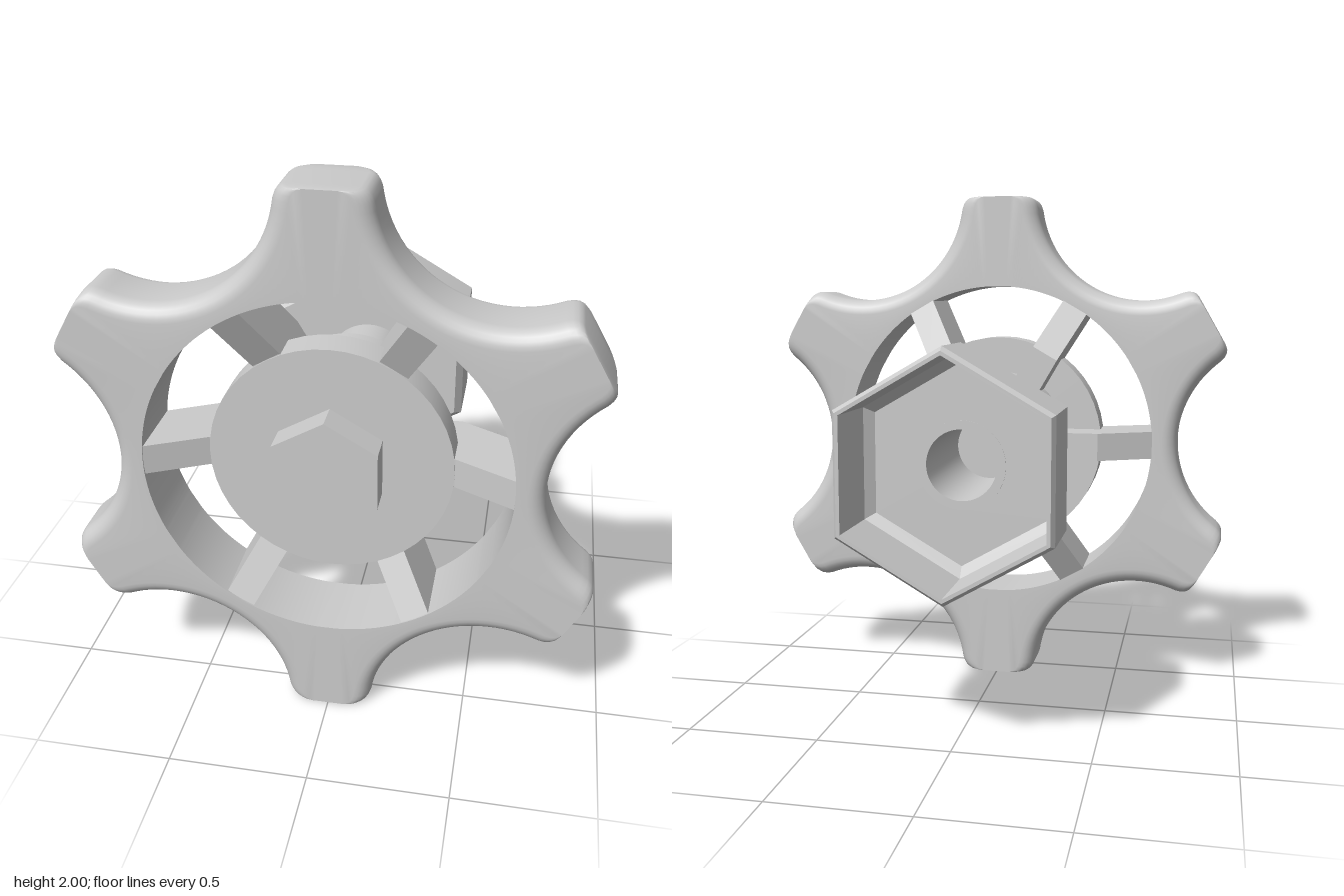
import * as THREE from 'three';
import { toCreasedNormals } from 'three/addons/utils/BufferGeometryUtils.js';

const grey = new THREE.MeshStandardMaterial({ color: 0xcccccc });
const greyFlat = new THREE.MeshStandardMaterial({ color: 0xcccccc, flatShading: true });

const LOBES = 6;
const BACK = 0.36, FRONT = 0.625;   // z range of the wheel rim
const HOLE = 0.64;                  // radius of the rim opening
const FILLET = 0.06;

function part(name, geometry, material = grey) {
  const mesh = new THREE.Mesh(geometry, material);
  mesh.name = name;
  return mesh;
}

// Lathe a closed (radius, z) profile around the z axis
function turned(profile, sides) {
  const points = profile.map(([r, z]) => new THREE.Vector2(r, z));
  return new THREE.LatheGeometry(points, sides).rotateX(Math.PI / 2);
}

// Scalloped outline; inset widens the scallops but leaves the flat lobe tips alone
function outline(inset) {
  const dist = 1.168, radius = 0.43 + inset, shoulder = 0.93;
  const cx = dist * 0.5, cy = dist * Math.cos(Math.PI / 6);
  const edgeX = (y) => cx - Math.sqrt(radius ** 2 - (y - cy) ** 2);
  const half = [];
  const from = Math.PI * 4 / 3;
  const to = Math.PI + Math.asin((cy - shoulder) / radius);
  for (let i = 0; i <= 12; i++) {
    const a = from + (to - from) * i / 12;
    half.push(new THREE.Vector2(cx + radius * Math.cos(a), cy + radius * Math.sin(a)));
  }
  // rounded corner of the lobe
  const w = edgeX(1);
  const corner = new THREE.QuadraticBezierCurve(
    half[12].clone(), new THREE.Vector2(w, 1), new THREE.Vector2(w - 0.04, 1));
  half.push(...corner.getPoints(5).slice(1));
  const mirrored = half.slice(1).reverse().map((p) => new THREE.Vector2(-p.x, p.y));
  const lobe = [...half, ...mirrored];
  const origin = new THREE.Vector2();
  const points = [];
  for (let k = 0; k < LOBES; k++) {
    for (const p of lobe) points.push(p.clone().rotateAround(origin, k * Math.PI * 2 / LOBES));
  }
  return points;
}

// Rim: rings stacked along z with filleted edges, closed through the round opening
function rimGeometry() {
  const steps = 6, lower = [], upper = [];
  for (let k = 0; k <= steps; k++) {
    const a = k / steps * Math.PI / 2;
    const inset = FILLET * (1 - Math.sin(a)), dz = FILLET * (1 - Math.cos(a));
    const points = outline(inset);
    lower.push({ points, z: BACK + dz });
    upper.unshift({ points, z: FRONT - dz });
  }
  const opening = lower[0].points.map((p) => p.clone().setLength(HOLE));
  const rings = [...lower, ...upper, { points: opening, z: FRONT }, { points: opening, z: BACK }];

  const n = opening.length, positions = [], index = [];
  rings.forEach(({ points, z }, j) => {
    const next = (j + 1) % rings.length;
    points.forEach((p, i) => {
      positions.push(p.x, p.y, z);
      const i2 = (i + 1) % n;
      const a = j * n + i, b = j * n + i2, c = next * n + i2, d = next * n + i;
      index.push(a, b, c, a, c, d);
    });
  });
  const geometry = new THREE.BufferGeometry();
  geometry.setAttribute('position', new THREE.Float32BufferAttribute(positions, 3));
  geometry.setIndex(index);
  return toCreasedNormals(geometry, 0.6);
}

// Spoke: bent strut sloping forward from the hub to the rim
function spokeGeometry() {
  const width = 0.11;
  const shape = new THREE.Shape([
    [0.27, 0.25], [0.43, 0.25], [0.64, 0.36], [0.66, 0.37],
    [0.66, 0.61], [0.64, 0.62], [0.43, 0.515], [0.27, 0.5],
  ].map(([r, z]) => new THREE.Vector2(r, z)));
  return new THREE.ExtrudeGeometry(shape, { depth: width, bevelEnabled: false })
    .translate(0, 0, -width / 2)
    .rotateX(Math.PI / 2);
}

export function createModel() {
  const model = new THREE.Group();
  model.name = 'handwheelKnob';
  const body = new THREE.Group();
  body.name = 'knobBody';
  body.position.y = 1;
  model.add(body);

  body.add(part('wheelRim', rimGeometry()));

  const spoke = spokeGeometry();
  for (let k = 0; k < LOBES; k++) {
    const mesh = part('spoke', spoke, greyFlat);
    mesh.rotation.z = k * Math.PI * 2 / LOBES;
    body.add(mesh);
  }

  // Front disc, hub and bored shaft
  const hub = turned([
    [0, 0.2], [0.13, 0.2], [0.13, -0.317], [0.163, -0.317], [0.163, 0.08],
    [0.29, 0.08], [0.29, 0.4], [0.43, 0.4], [0.43, 0.52], [0, 0.52],
  ], 48);
  body.add(part('hubAndShaft', toCreasedNormals(hub, 0.6)));

  // Hexagonal boss on the front disc
  const boss = new THREE.CylinderGeometry(0.21, 0.21, 0.125, 6).rotateX(Math.PI / 2);
  boss.translate(0, 0, FRONT - 0.0625);
  body.add(part('hexBoss', boss, greyFlat));

  // Hollow hexagonal socket, open at the back
  const socket = turned([
    [0.16, -0.315], [0.37, -0.315], [0.41, -0.345], [0.41, -0.625], [0.425, -0.625],
    [0.44, -0.605], [0.44, -0.32], [0.41, -0.285], [0.16, -0.285],
  ], 6);
  body.add(part('hexSocket', socket, greyFlat));

  return model;
}
